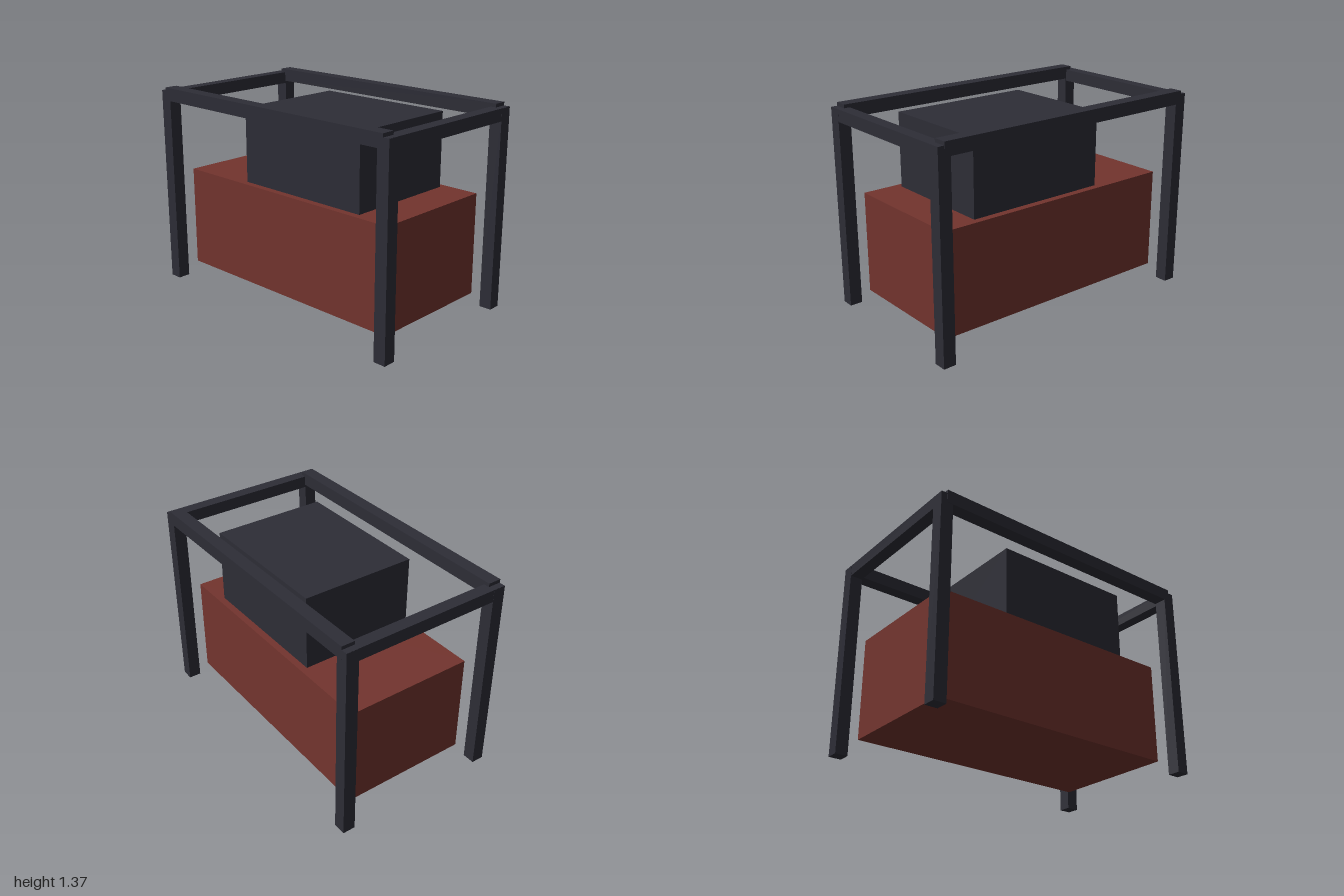
import * as THREE from 'three';

export function createModel() {
  const model = new THREE.Group();
  const steel = new THREE.MeshStandardMaterial({ color: 0x2d2d36 });
  steel.name = 'dark steel';
  const red = new THREE.MeshStandardMaterial({ color: 0x73342e });
  red.name = 'brick red';

  // Box given by its minimum and maximum on each axis
  const box = (name, material, [x0, x1], [y0, y1], [z0, z1]) => {
    const mesh = new THREE.Mesh(new THREE.BoxGeometry(x1 - x0, y1 - y0, z1 - z0), material);
    mesh.position.set((x0 + x1) / 2, (y0 + y1) / 2, (z0 + z1) / 2);
    mesh.name = name;
    model.add(mesh);
  };
  // Range of a bar on the chosen side of the centre
  const sided = (s, a, b) => (s > 0 ? [a, b] : [-b, -a]);

  // Main body floating inside the frame, with the offset upper housing
  box('lowerBody', red, [-0.88, 0.88], [0.1, 0.787], [-0.442, 0.438]);
  box('upperHousing', steel, [-0.365, 0.627], [0.787, 1.29], [-0.395, 0.392]);

  // Frame: four legs, two side rails, and two long rails set slightly higher
  for (const s of [-1, 1]) {
    const end = s > 0 ? 'left' : 'right';
    for (const t of [-1, 1]) {
      const leg = t > 0 ? 'Front' : 'Back';
      box(end + leg + 'Leg', steel, sided(s, 0.915, 1), [0, 1.344], sided(t, 0.494, 0.579));
    }
    box(end + 'SideRail', steel, sided(s, 0.917, 0.999), [1.263, 1.345], [-0.578, 0.578]);
    box(s > 0 ? 'frontRail' : 'backRail', steel, [-0.957, 0.957], [1.28, 1.368], sided(s, 0.492, 0.581));
  }
  return model;
}
